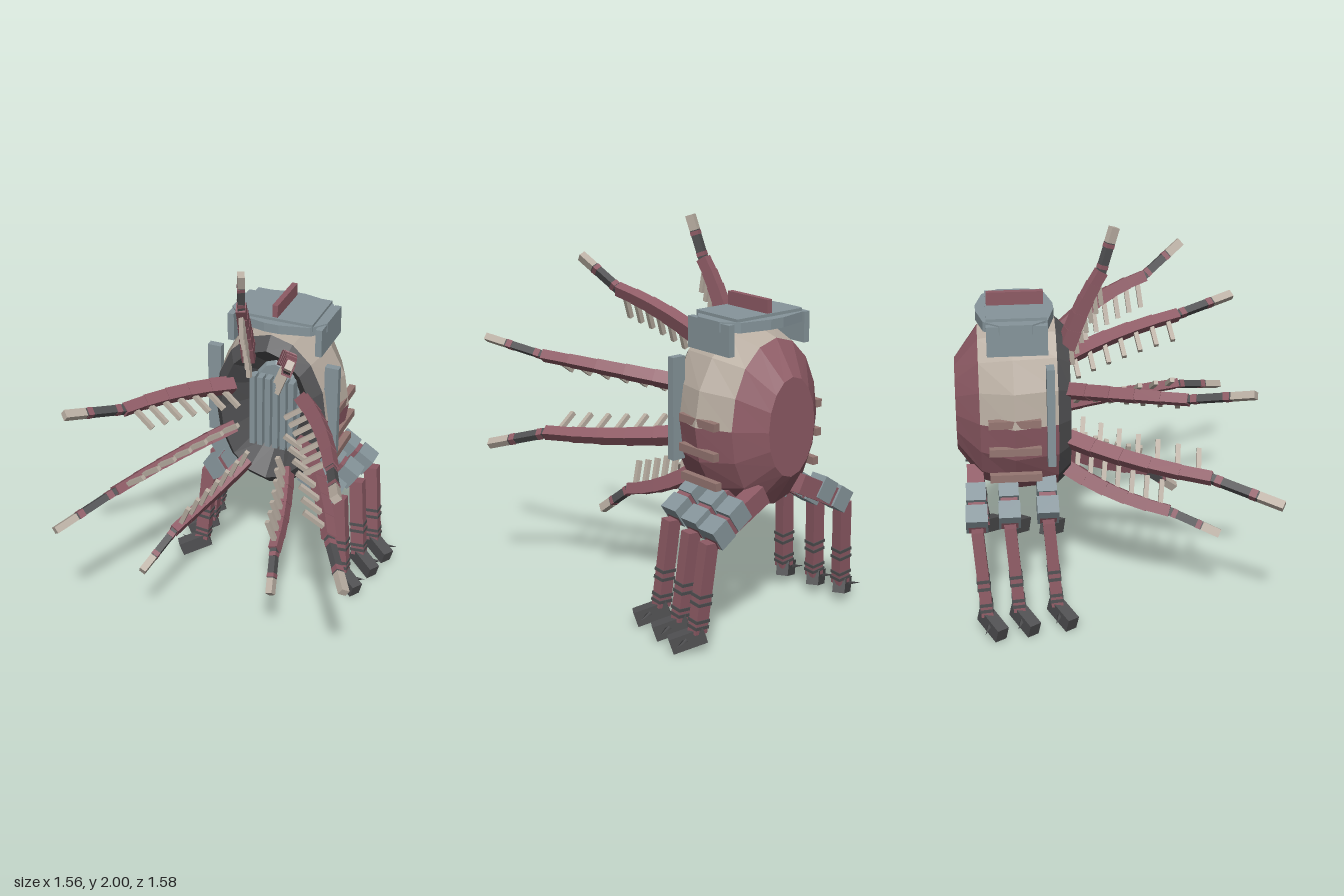
import * as THREE from 'three';

const mat = (name, color) => {
  const m = new THREE.MeshStandardMaterial({ color });
  m.name = name;
  return m;
};
const V = (x, y, z) => new THREE.Vector3(x, y, z);
const on = (p, q, t) => p.clone().lerp(q, t);

export function createModel() {
  const maroon = mat('maroon', 0x8e5b65);
  const cream = mat('cream', 0xb9aea2);
  const grey = mat('blueGrey', 0x86959b);
  const dark = mat('charcoal', 0x505052);
  const dusty = mat('dustyBrown', 0x967772);

  const root = new THREE.Group();
  root.name = 'tentacledWalker';
  const machine = new THREE.Group(); // mirrored parts share this centre line
  machine.name = 'machine';
  machine.position.x = -0.02;
  root.add(machine);

  const add = (parent, name, geo, material) => {
    const m = new THREE.Mesh(geo, material);
    m.name = name;
    parent.add(m);
    return m;
  };
  const box = (parent, name, material, w, h, d, x, y, z) => {
    const m = add(parent, name, new THREE.BoxGeometry(w, h, d), material);
    m.position.set(x, y, z);
    return m;
  };
  // box stretched between two points, h measured along the up hint
  const beam = (parent, name, material, a, b, w, h, up = V(0, 1, 0)) => {
    const dir = b.clone().sub(a);
    const len = dir.length();
    dir.normalize();
    const side = up.clone().cross(dir).normalize();
    const top = dir.clone().cross(side);
    const m = add(parent, name, new THREE.BoxGeometry(w, h, len), material);
    m.quaternion.setFromRotationMatrix(new THREE.Matrix4().makeBasis(side, top, dir));
    m.position.copy(a).lerp(b, 0.5);
    return m;
  };

  // faceted skin through elliptical rings [z, rx, ry]
  const loft = (rings, a0 = 0, a1 = Math.PI * 2, n = 16) => {
    const p = [];
    const at = ([z, rx, ry], j) => {
      const a = a0 + ((a1 - a0) * j) / n;
      return [rx * Math.cos(a), 1.065 + ry * Math.sin(a), z];
    };
    for (let i = 0; i < rings.length - 1; i++)
      for (let j = 0; j < n; j++) {
        const a = at(rings[i], j), b = at(rings[i], j + 1);
        const c = at(rings[i + 1], j + 1), d = at(rings[i + 1], j);
        p.push(...a, ...b, ...c, ...a, ...c, ...d);
      }
    const g = new THREE.BufferGeometry();
    g.setAttribute('position', new THREE.Float32BufferAttribute(p, 3));
    g.computeVertexNormals();
    return g;
  };

  // barrel body
  const back = [-0.79, 0.15, 0.25], shoulder = [-0.67, 0.28, 0.42];
  const waist = [-0.5, 0.365, 0.465], front = [-0.28, 0.315, 0.455];
  add(machine, 'bodyBack', loft([[-0.79, 0, 0], back, shoulder]), maroon);
  add(machine, 'bodyUpper', loft([shoulder, waist, front], 0, Math.PI, 8), cream);
  add(machine, 'bodyLower', loft([shoulder, waist, front], Math.PI, Math.PI * 2, 8), maroon);
  // front rim and the hollow mouth behind it
  add(machine, 'mouthFunnel', loft([front, [-0.215, 0.26, 0.39], [-0.36, 0.145, 0.265]]), dark);
  add(machine, 'mouthPlate', loft([[-0.36, 0.145, 0.265], [-0.345, 0.13, 0.245], [-0.345, 0, 0]]), grey);
  for (let i = 0; i < 6; i++)
    box(machine, 'mouthSlat', grey, 0.03, 0.42, 0.06, -0.11 + i * 0.044, 1.035, -0.32);

  // roof hatch
  const hatch = new THREE.Shape([
    [-0.265, 0.56], [-0.265, 0.4], [-0.2, 0.32], [-0.04, 0.285], [0.04, 0.285], [0.2, 0.32],
    [0.265, 0.4], [0.265, 0.56], [0.2, 0.64], [0.04, 0.675], [-0.04, 0.675], [-0.2, 0.64],
  ].map(([x, z]) => new THREE.Vector2(x, z)));
  const hatchBase = add(machine, 'hatchBase',
    new THREE.ExtrudeGeometry(hatch, { depth: 0.05, bevelEnabled: false }), grey);
  hatchBase.rotation.x = -Math.PI / 2;
  hatchBase.position.y = 1.53;
  box(machine, 'hatchLid', grey, 0.42, 0.04, 0.3, 0, 1.575, -0.475);
  box(machine, 'hatchHandle', maroon, 0.03, 0.075, 0.285, 0, 1.625, -0.477);

  // tentacles: base, joint, tip
  const tentacle = (base, joint, tip) => {
    const g = new THREE.Group();
    g.name = 'tentacle';
    root.add(g);
    const a = V(...base), b = V(...joint), c = V(...tip);
    const out = V(b.x + 0.02, b.y - 1.065, 0).normalize();
    // the arm bows slightly outward
    const arm = new THREE.QuadraticBezierCurve3(a, on(a, b, 0.45).addScaledVector(out, 0.06), b);
    // pegs lean toward the horizontal mid-plane
    const up = V(out.x, out.y + 0.35 * Math.sign(out.y), -0.15).normalize();
    const n = 5;
    for (let i = 0; i < n; i++) {
      const s = 0.078 - i * 0.005;
      const p = arm.getPoint(i / n), q = arm.getPoint((i + 1) / n);
      beam(g, 'armSegment', maroon, p, on(p, q, 1.08), s * 0.85, s, up);
    }
    for (let i = 0; i < 7; i++) {
      const p = arm.getPoint(0.12 + i * 0.135);
      const q = p.clone().addScaledVector(up, -0.15);
      beam(g, 'peg', cream, p, q, 0.024, 0.024, V(0, 0, 1));
    }
    beam(g, 'feelerRod', dark, on(b, c, -0.05), on(b, c, 0.66), 0.036, 0.042, up);
    for (const t of [0.08, 0.55])
      beam(g, 'feelerBand', maroon, on(b, c, t), on(b, c, t + 0.09), 0.039, 0.045, up);
    beam(g, 'feelerTip', cream, on(b, c, 0.66), c, 0.036, 0.044, up);
  };
  [
    [[-0.12, 1.39, -0.23], [-0.09, 1.77, -0.05], [-0.06, 1.99, 0.02]],
    [[0.08, 1.42, -0.23], [0.26, 1.62, 0.2], [0.345, 1.775, 0.405]],
    [[-0.22, 1.2, -0.24], [-0.57, 1.28, 0.32], [-0.75, 1.37, 0.62]],
    [[0.18, 1.2, -0.24], [0.57, 1.28, 0.42], [0.71, 1.34, 0.75]],
    [[-0.22, 0.94, -0.24], [-0.58, 0.86, 0.44], [-0.76, 0.78, 0.78]],
    [[0.18, 0.94, -0.24], [0.57, 0.87, 0.42], [0.75, 0.78, 0.7]],
    [[-0.14, 0.74, -0.24], [-0.34, 0.56, 0.27], [-0.41, 0.45, 0.53]],
    [[0.09, 0.74, -0.24], [0.2, 0.54, 0.2], [0.25, 0.39, 0.385]],
  ].forEach((t) => tentacle(...t));

  for (const s of [-1, 1]) {
    // hatch flaps, upright guards and side slats
    box(machine, 'hatchFlap', grey, 0.035, 0.155, 0.3, s * 0.245, 1.495, -0.475);
    box(machine, 'sideGuard', grey, 0.075, 0.52, 0.04, s * 0.33, 1.12, -0.32);
    [[1.09, 0.34], [0.94, 0.34], [0.79, 0.325]].forEach(([y, x]) =>
      box(machine, 'sideSlat', dusty, 0.035, 0.04, 0.26, s * x, y, -0.5));

    // three legs on each side
    [[-0.345, 0], [-0.54, 0.035], [-0.705, 0.065]].forEach(([z, o]) => {
      const leg = new THREE.Group();
      leg.name = 'leg';
      machine.add(leg);
      const P = (x, y, dz) => V(s * (x + o), y, z + dz);
      const hip = P(0.185, 0.7, 0), knee = P(0.375, 0.575, 0);
      const shinTop = P(0.385, 0.565, 0), ankle = P(0.425, 0.1, 0.035);
      beam(leg, 'hipCore', maroon, V(s * 0.12, 0.74, z), knee, 0.085, 0.1);
      beam(leg, 'upperHip', grey, hip, on(hip, knee, 0.45), 0.1, 0.115);
      beam(leg, 'lowerHip', grey, on(hip, knee, 0.56), knee, 0.11, 0.115);
      beam(leg, 'shin', maroon, shinTop, ankle, 0.075, 0.06, V(0, 0, 1));
      [0.56, 0.65, 0.84, 0.91].forEach((t) =>
        beam(leg, 'shinBand', dark, on(shinTop, ankle, t), on(shinTop, ankle, t + 0.035),
          0.083, 0.068, V(0, 0, 1)));
      beam(leg, 'foot', dark, P(0.395, 0.095, 0.015), P(0.535, 0.04, 0.105), 0.065, 0.08);
      const claw = add(leg, 'claw', new THREE.ConeGeometry(0.022, 0.12, 4), dark);
      claw.position.copy(P(0.505, 0.07, 0.04));
      claw.quaternion.setFromUnitVectors(V(0, 1, 0), V(s * 0.9, -0.1, -0.3).normalize());
    });
  }
  return root;
}
